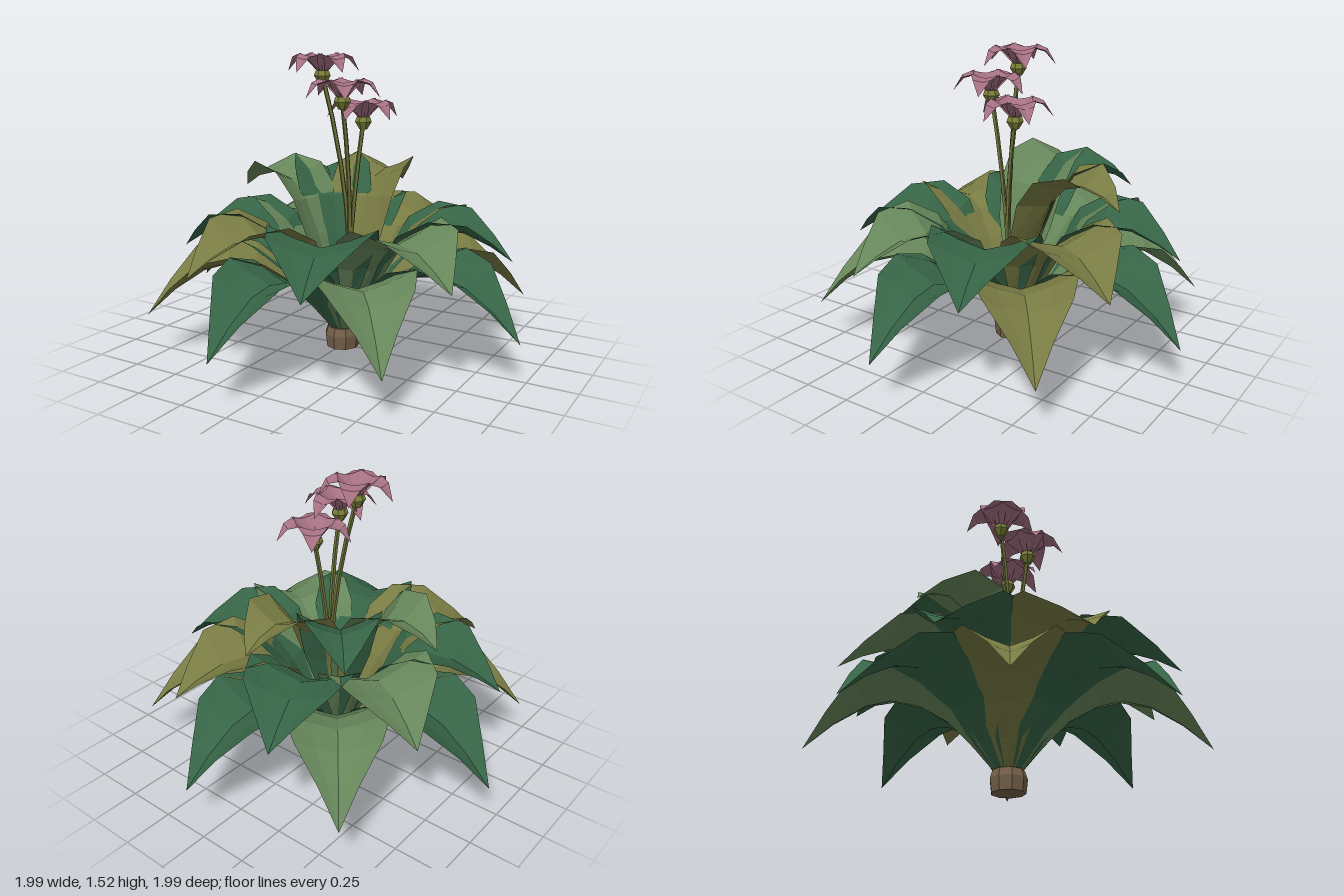
import * as THREE from 'three';

const mat = (name, color, side = THREE.DoubleSide) => {
  const m = new THREE.MeshStandardMaterial({ color, side, flatShading: true });
  m.name = name;
  return m;
};

// Channelled blade along +x: each row is [radius, height, half width, edge lift]
function bladeGeometry(rows) {
  const across = [-1, -0.5, 0, 0.5, 1], pos = [], idx = [];
  rows.forEach(([r, y, w, lift], i) => {
    const a = rows[Math.max(i - 1, 0)], b = rows[Math.min(i + 1, rows.length - 1)];
    const dr = b[0] - a[0], dy = b[1] - a[1], len = Math.hypot(dr, dy);
    for (const s of across) {
      const k = lift * Math.pow(Math.abs(s), 1.3);
      pos.push(r - (dy / len) * k, y + (dr / len) * k, s * w);
    }
  });
  const n = across.length;
  for (let i = 0; i < rows.length - 1; i++) {
    for (let j = 0; j < n - 1; j++) {
      const a = i * n + j, b = a + 1, c = a + n, d = c + 1;
      idx.push(a, b, c);
      if (i < rows.length - 2) idx.push(b, d, c);
    }
  }
  const g = new THREE.BufferGeometry();
  g.setAttribute('position', new THREE.Float32BufferAttribute(pos, 3));
  g.setIndex(idx);
  g.computeVertexNormals();
  return g;
}

export function createModel() {
  const dark = mat('dark green', 0x366446);
  const light = mat('light green', 0x66865a);
  const olive = mat('olive', 0x787b43);
  const pink = mat('petal pink', 0xa57082);
  const stemMat = mat('stem green', 0x6a6e38);
  const budMat = mat('bud green', 0x7a8038);
  const brown = mat('root brown', 0x735f49);

  const plant = new THREE.Group();
  plant.name = 'floweringPlant';
  const add = (parent, name, geo, material) => {
    const m = new THREE.Mesh(geo, material);
    m.name = name;
    parent.add(m);
    return m;
  };
  const V = (...p) => new THREE.Vector2(...p);

  // Root crown
  add(plant, 'rootCrown', new THREE.LatheGeometry(
    [V(0, 0), V(0.086, 0), V(0.094, 0.07), V(0.08, 0.11), V(0, 0.11)], 9), brown);

  // Leaf rings; angles run from +x towards +z
  const cycle = [dark, light, dark, olive];
  const rings = [
    { name: 'outerLeaf', start: 5.7, colours: [...cycle, ...cycle], rows: [
      [0.06, 0.1, 0.03, 0.005], [0.16, 0.22, 0.085, 0.018], [0.3, 0.36, 0.165, 0.05], [0.45, 0.445, 0.235, 0.08],
      [0.58, 0.47, 0.25, 0.095], [0.71, 0.44, 0.2, 0.09], [0.86, 0.345, 0.09, 0.04], [1, 0.22, 0, 0]] },
    { name: 'middleLeaf', start: -18.3, colours: [...cycle, ...cycle], rows: [
      [0.055, 0.1, 0.03, 0.005], [0.145, 0.28, 0.09, 0.015], [0.25, 0.465, 0.17, 0.045], [0.36, 0.595, 0.24, 0.08],
      [0.48, 0.65, 0.265, 0.095], [0.62, 0.635, 0.22, 0.09], [0.75, 0.575, 0.1, 0.04], [0.865, 0.5, 0, 0]] },
    { name: 'innerLeaf', start: 183, colours: [light, dark, olive], rows: [
      [0.03, 0.1, 0.025, 0.01], [0.08, 0.35, 0.09, 0.025], [0.15, 0.58, 0.165, 0.045], [0.23, 0.76, 0.195, 0.07],
      [0.32, 0.86, 0.205, 0.085], [0.43, 0.89, 0.175, 0.08], [0.54, 0.86, 0.085, 0.035], [0.63, 0.8, 0, 0]] },
  ];
  for (const { name, start, colours, rows } of rings) {
    const geo = bladeGeometry(rows);
    colours.forEach((c, i) => {
      add(plant, name, geo, c).rotation.y = -THREE.MathUtils.degToRad(start + i * 45);
    });
  }

  // Flowers: bud position and turn of the petals
  const petalGeo = bladeGeometry([
    [0.017, 0.025, 0.027, 0.002], [0.05, 0.062, 0.055, 0.01], [0.09, 0.095, 0.075, 0.018],
    [0.135, 0.082, 0.045, 0.014], [0.19, 0.02, 0, 0]]);
  const budGeo = new THREE.LatheGeometry(
    [V(0, -0.04), V(0.02, -0.038), V(0.043, 0), V(0.034, 0.025), V(0, 0.025)], 7);
  const flowers = [
    { at: [-0.1, 1.41, 0.03], turn: 172 },
    { at: [0.05, 1.29, 0.09], turn: 56 },
    { at: [0.08, 1.18, -0.07], turn: 18 },
  ];
  for (const { at, turn } of flowers) {
    const top = new THREE.Vector3(...at);
    const path = new THREE.QuadraticBezierCurve3(
      new THREE.Vector3(0.02, 0.11, 0),
      new THREE.Vector3(0.07 - at[0] * 0.2, 0.7, at[2] * -0.3), top);
    add(plant, 'flowerStem', new THREE.TubeGeometry(path, 6, 0.012, 5), stemMat);

    const flower = new THREE.Group();
    flower.name = 'flower';
    flower.position.copy(top);
    add(flower, 'bud', budGeo, budMat);
    for (let i = 0; i < 5; i++) {
      add(flower, 'petal', petalGeo, pink).rotation.y = -THREE.MathUtils.degToRad(turn + i * 72);
    }
    plant.add(flower);
  }
  return plant;
}
